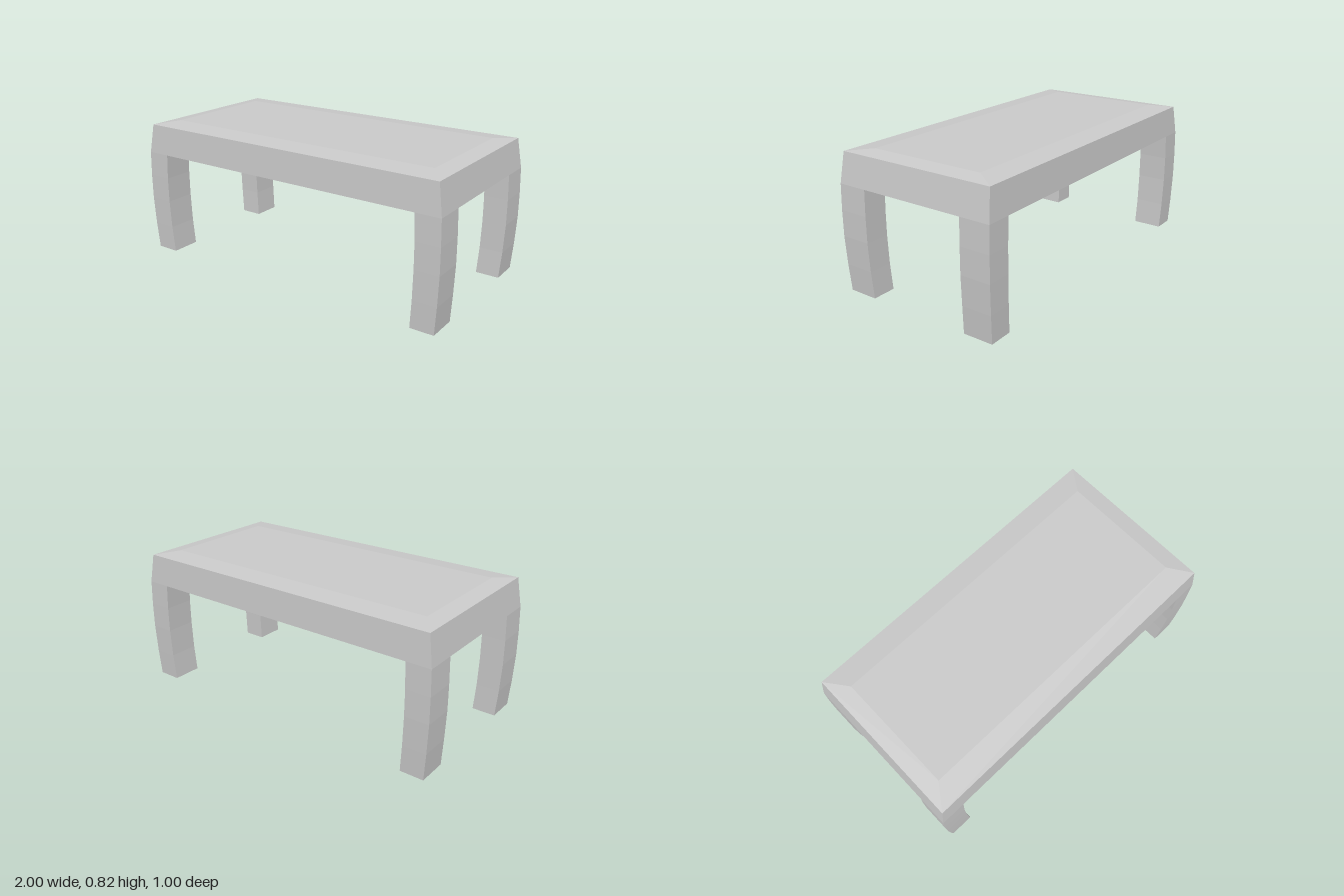
import * as THREE from 'three';

const material = new THREE.MeshStandardMaterial({ color: 0xcccccc, flatShading: true });

// Skins rectangular cross-sections [y, x0, x1, z0, z1], listed from bottom to top.
function loft(name, sections, capTop) {
  const positions = [];
  const rings = sections.map(([y, x0, x1, z0, z1]) => [
    [x0, y, z1], [x1, y, z1], [x1, y, z0], [x0, y, z0],
  ]);
  const quad = (a, b, c, d) => positions.push(...a, ...b, ...c, ...a, ...c, ...d);

  for (let i = 0; i < rings.length - 1; i++) {
    for (let j = 0; j < 4; j++) {
      const k = (j + 1) % 4;
      quad(rings[i][j], rings[i][k], rings[i + 1][k], rings[i + 1][j]);
    }
  }
  const [a, b, c, d] = rings[0];
  quad(d, c, b, a);
  if (capTop) quad(...rings[rings.length - 1]);

  const geometry = new THREE.BufferGeometry();
  geometry.setAttribute('position', new THREE.Float32BufferAttribute(positions, 3));
  geometry.computeVertexNormals();
  const mesh = new THREE.Mesh(geometry, material);
  mesh.name = name;
  return mesh;
}

export function createModel() {
  const table = new THREE.Group();
  table.name = 'lowTable';

  // Thick top: tapered apron below a slightly crowned surface
  const topRings = [
    [0.628, 0.994, 0.498],
    [0.802, 0.967, 0.484],
    [0.816, 0.87, 0.35],
  ];
  table.add(loft('tableTop', topRings.map(([y, x, z]) => [y, -x, x, -z, z]), true));

  // Bowed leg: height, inner x, outer x, inner z, outer z
  const legRings = [
    [0, 0.843, 0.982, 0.315, 0.492],
    [0.16, 0.853, 0.993, 0.319, 0.497],
    [0.33, 0.858, 1.0, 0.32, 0.5],
    [0.48, 0.857, 0.999, 0.32, 0.5],
    [0.628, 0.85, 0.994, 0.319, 0.498],
  ];
  for (const sx of [-1, 1]) {
    for (const sz of [-1, 1]) {
      const rings = legRings.map(([y, xi, xo, zi, zo]) => [
        y,
        Math.min(sx * xi, sx * xo), Math.max(sx * xi, sx * xo),
        Math.min(sz * zi, sz * zo), Math.max(sz * zi, sz * zo),
      ]);
      const name = (sz > 0 ? 'front' : 'back') + (sx > 0 ? 'Left' : 'Right') + 'Leg';
      table.add(loft(name, rings, false));
    }
  }
  return table;
}
